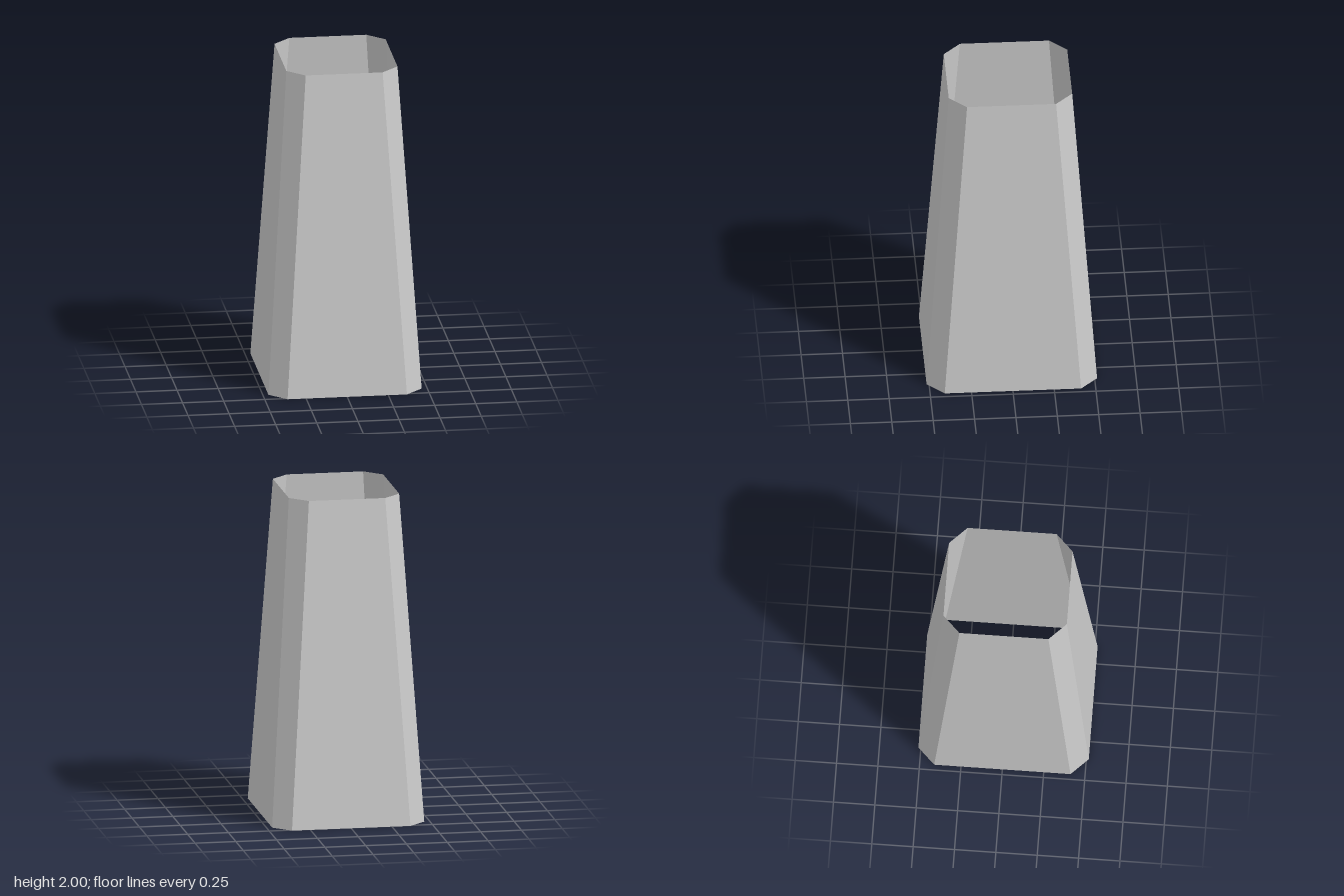
import * as THREE from 'three';

// Rectangle with chamfered corners at height y, running from +z towards +x
function chamferedRing(halfX, halfZ, cut, y) {
  const x = halfX - cut, z = halfZ - cut;
  return [
    [-x, halfZ], [x, halfZ], [halfX, z], [halfX, -z],
    [x, -halfZ], [-x, -halfZ], [-halfX, -z], [-halfX, z],
  ].map(([px, pz]) => new THREE.Vector3(px, y, pz));
}

// Flat-sided wall between two rings, open at both ends
function loft(lower, upper) {
  const points = [];
  lower.forEach((a, i) => {
    const j = (i + 1) % lower.length;
    points.push(a, lower[j], upper[j], a, upper[j], upper[i]);
  });
  const geometry = new THREE.BufferGeometry().setFromPoints(points);
  geometry.computeVertexNormals();
  return geometry;
}

export function createModel() {
  const group = new THREE.Group();
  group.name = 'taperedSleeve';

  // Tapered eight-sided wall, open at top and bottom
  const wall = new THREE.Mesh(
    loft(chamferedRing(0.466, 0.515, 0.103, 0), chamferedRing(0.338, 0.373, 0.104, 2)),
    new THREE.MeshStandardMaterial({ color: 0xcccccc, flatShading: true, side: THREE.DoubleSide })
  );
  wall.name = 'wall';
  group.add(wall);
  return group;
}
